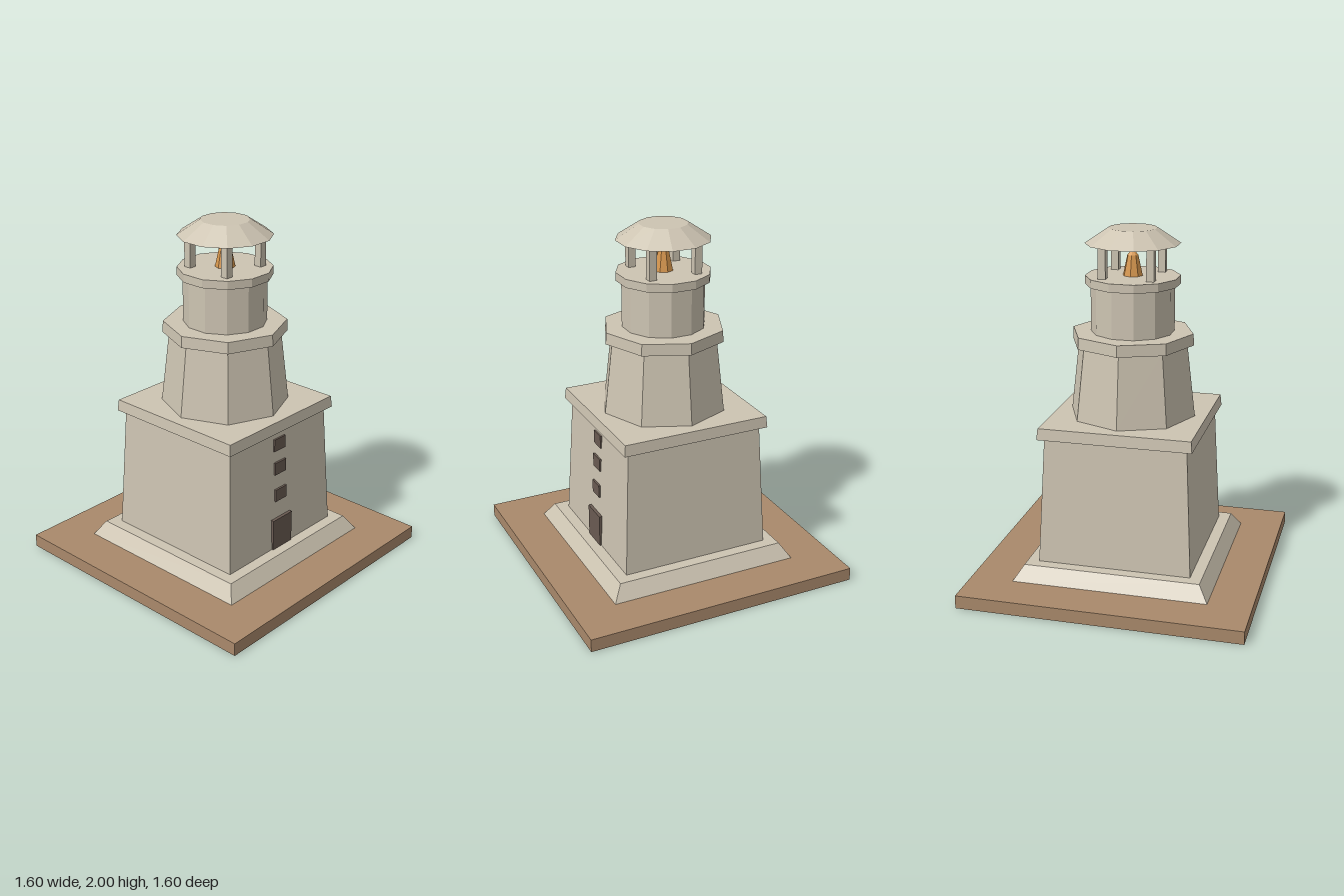
import * as THREE from 'three';

const stone = new THREE.MeshStandardMaterial({ color: 0xcdc4b2 });
stone.name = 'stone';
const earth = new THREE.MeshStandardMaterial({ color: 0xa9896b });
earth.name = 'earth';
const darkWood = new THREE.MeshStandardMaterial({ color: 0x6a5b52 });
darkWood.name = 'darkWood';
const fire = new THREE.MeshStandardMaterial({ color: 0xd6964c });
fire.name = 'fire';

export function createModel() {
  const model = new THREE.Group();
  model.name = 'lighthouse';

  function add(name, geometry, material, x, y, z) {
    const mesh = new THREE.Mesh(geometry, material);
    mesh.name = name;
    mesh.position.set(x, y, z);
    model.add(mesh);
    return mesh;
  }

  // Faceted tier between two heights; turn rotates the polygon
  function tier(name, sides, rBottom, rTop, y0, y1, turn = 0, material = stone) {
    const g = new THREE.CylinderGeometry(rTop, rBottom, y1 - y0, sides).toNonIndexed();
    g.computeVertexNormals();
    g.rotateY(turn);
    return add(name, g, material, 0, (y0 + y1) / 2, 0);
  }
  // Square tier given by half widths
  const square = (name, hBottom, hTop, y0, y1) =>
    tier(name, 4, hBottom * Math.SQRT2, hTop * Math.SQRT2, y0, y1, Math.PI / 4);

  // Ground slab
  add('ground', new THREE.BoxGeometry(1.6, 0.075, 1.6), earth, 0, 0.0375, 0);

  // Square lower storey
  square('plinth', 0.555, 0.5, 0.075, 0.16);
  square('lowerTower', 0.435, 0.4, 0.16, 0.885);
  square('lowerCornice', 0.434, 0.428, 0.885, 0.95);

  // Octagonal middle storey
  tier('middleTower', 8, 0.36, 0.312, 0.95, 1.36);
  tier('middleCornice', 8, 0.349, 0.345, 1.36, 1.425);

  // Twelve-sided upper storey and lantern roof
  const turn = Math.PI / 12;
  tier('upperTower', 12, 0.233, 0.233, 1.425, 1.69, turn);
  tier('lanternFloor', 12, 0.264, 0.264, 1.69, 1.737, turn);
  tier('roof', 12, 0.264, 0.136, 1.915, 2.0, turn);

  // Lantern posts
  for (const x of [-0.135, 0.135]) {
    for (const z of [-0.135, 0.135]) {
      add('lanternPost', new THREE.BoxGeometry(0.043, 0.2, 0.043), stone, x, 1.83, z);
    }
  }

  // Beacon flame
  tier('flame', 8, 0.056, 0.031, 1.737, 1.85, 0, fire);
  tier('flameTip', 8, 0.031, 0.002, 1.85, 1.883, 0, fire);

  // Door and windows on the front wall
  add('door', new THREE.BoxGeometry(0.16, 0.187, 0.03), darkWood, 0, 0.2535, 0.429);
  [[0.49, 0.429], [0.655, 0.421], [0.798, 0.413]].forEach(([y, face]) => {
    add('window', new THREE.BoxGeometry(0.092, 0.074, 0.03), darkWood, 0, y, face - 0.015);
  });

  return model;
}
